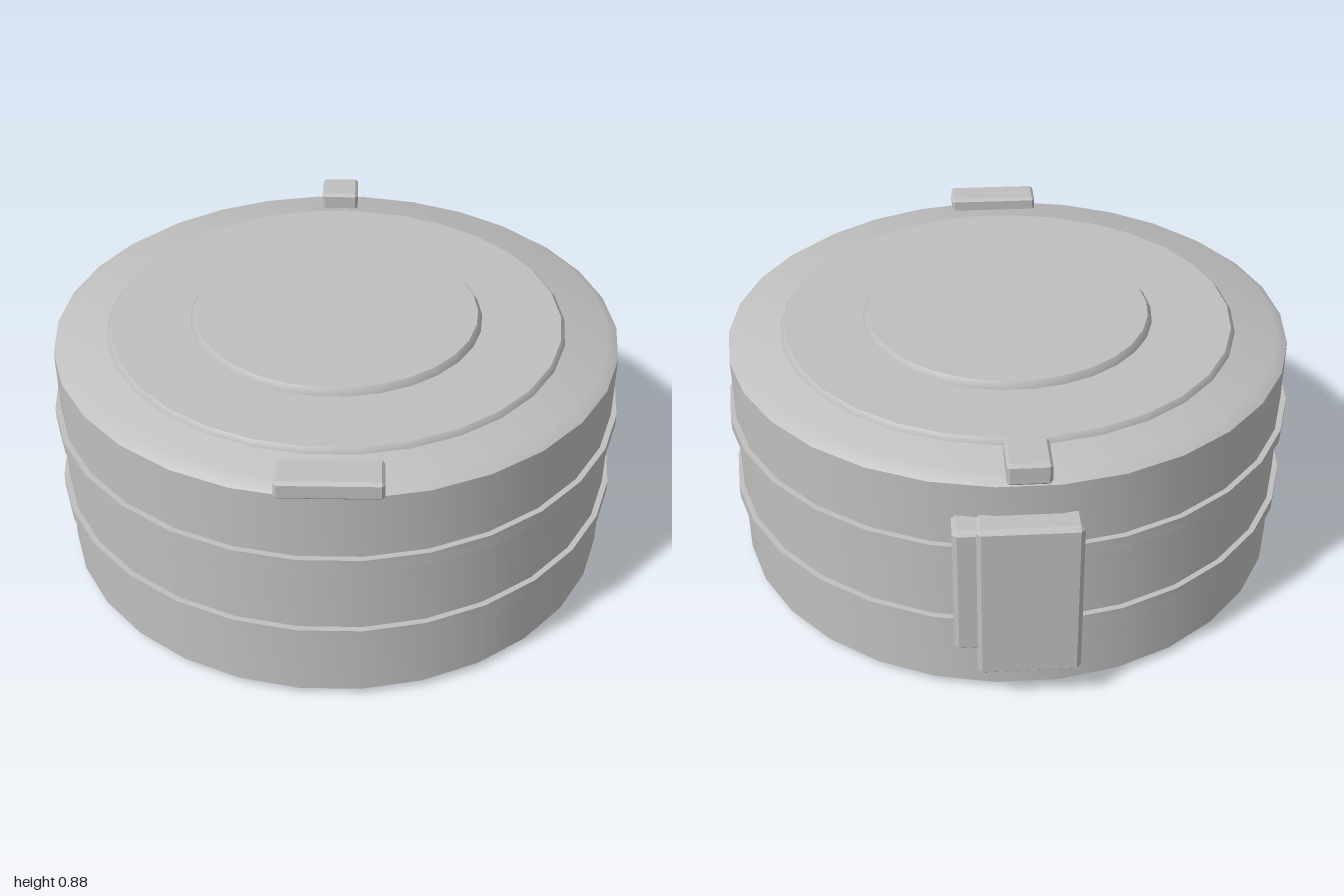
import * as THREE from 'three';
import { toCreasedNormals } from 'three/addons/utils/BufferGeometryUtils.js';
import { ConvexGeometry } from 'three/addons/geometries/ConvexGeometry.js';

const SIDES = 30;
const CENTRE_Z = 0.027;

export function createModel() {
  const model = new THREE.Group();
  model.name = 'roundCase';
  const grey = new THREE.MeshStandardMaterial({ color: 0xbfbfbf });
  grey.name = 'grey';

  // Turned part from a profile of [radius, height], with flats at front and back
  function turned(name, profile) {
    const lathe = new THREE.LatheGeometry(profile.map(([r, y]) => new THREE.Vector2(r, y)), SIDES);
    lathe.rotateY(Math.PI / 2);
    const mesh = new THREE.Mesh(toCreasedNormals(lathe, 0.8), grey);
    mesh.name = name;
    mesh.position.z = CENTRE_Z;
    model.add(mesh);
  }

  // Box with chamfered edges, given by its extents
  function block(name, [x0, x1], [y0, y1], [z0, z1], bevel = 0.01) {
    const half = [(x1 - x0) / 2, (y1 - y0) / 2, (z1 - z0) / 2];
    const points = [];
    for (const sx of [-1, 1]) for (const sy of [-1, 1]) for (const sz of [-1, 1]) {
      for (let axis = 0; axis < 3; axis++) {
        const p = half.map((h, i) => (i === axis ? h : h - bevel));
        points.push(new THREE.Vector3(sx * p[0], sy * p[1], sz * p[2]));
      }
    }
    const mesh = new THREE.Mesh(new ConvexGeometry(points), grey);
    mesh.name = name;
    mesh.position.set((x0 + x1) / 2, (y0 + y1) / 2, (z0 + z1) / 2);
    model.add(mesh);
  }

  // Drum with chamfered rims
  turned('body', [[0, 0], [0.918, 0], [0.955, 0.025], [0.955, 0.8], [0.918, 0.825], [0, 0.825]]);

  // Stepped lid discs
  turned('lidOuterDisc', [[0.777, 0.82], [0.777, 0.826], [0.763, 0.842], [0, 0.842]]);
  turned('lidInnerDisc', [[0.496, 0.835], [0.496, 0.845], [0.481, 0.865], [0, 0.865]]);

  // Raised bands round the side
  for (const [name, y] of [['lowerBand', 0.25], ['upperBand', 0.535]]) {
    turned(name, [[0.94, y], [0.974, y], [0.974, y + 0.044], [0.94, y + 0.044]]);
  }

  // Front latch and rear catch on the lid
  block('frontLatch', [-0.163, 0.16], [0.807, 0.87], [0.877, 1]);
  block('rearCatch', [-0.07, 0.066], [0.807, 0.882], [-0.935, -0.79]);

  // Rear plate with the smaller block beside it
  block('rearPlate', [-0.163, 0.16], [0.13, 0.695], [-1, -0.9], 0.014);
  block('sideBlock', [0.08, 0.23], [0.225, 0.685], [-0.987, -0.88], 0.014);

  return model;
}
